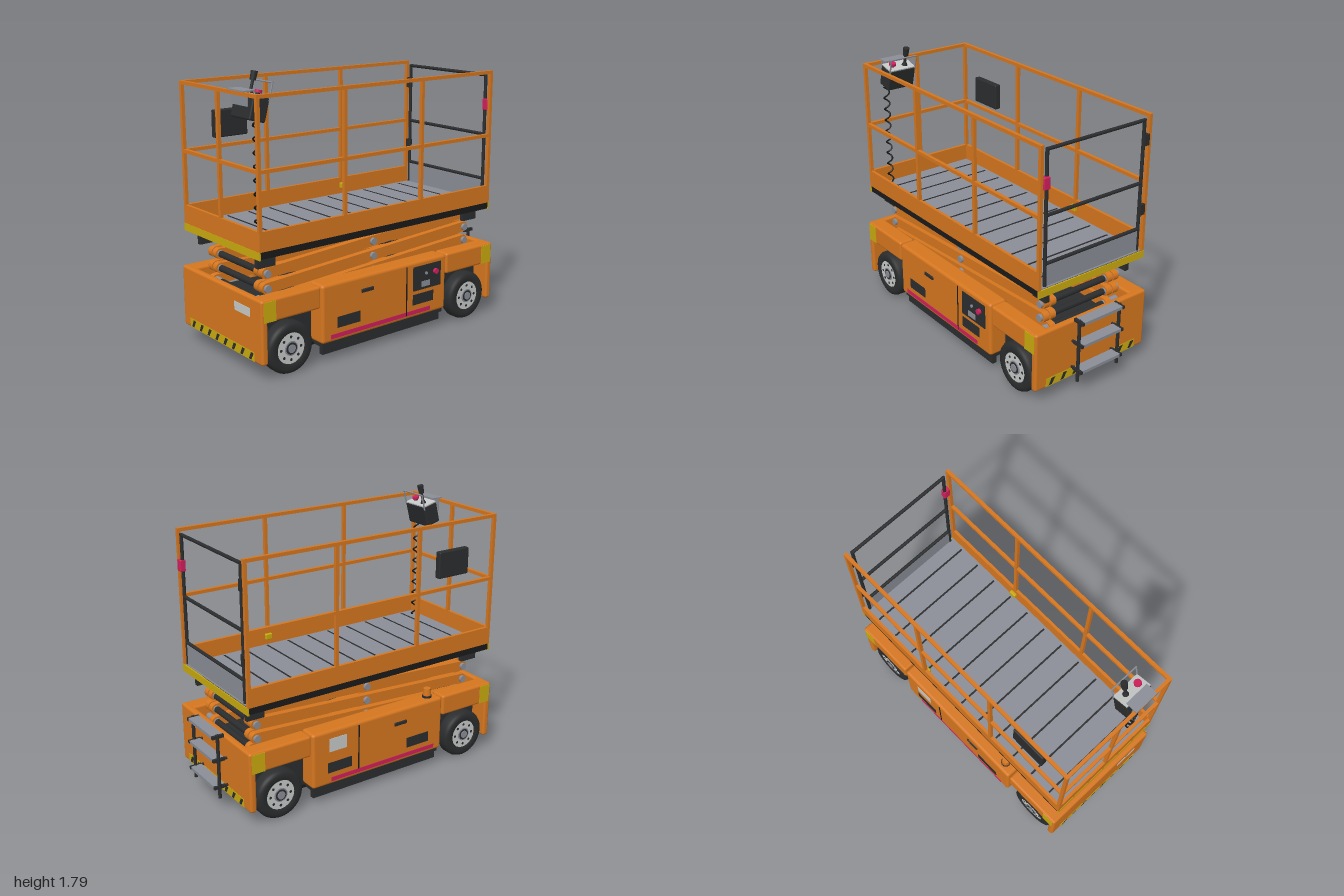
import * as THREE from 'three';
import { RoundedBoxGeometry } from 'three/addons/geometries/RoundedBoxGeometry.js';

const mat = (name, color, side = THREE.FrontSide) => {
  const m = new THREE.MeshStandardMaterial({ color, side });
  m.name = name;
  return m;
};

export function createModel() {
  const orange = mat('orange paint', 0xd5761f), dark = mat('dark plastic', 0x2b2c2d), black = mat('black', 0x1a1a1b);
  const grey = mat('grey steel', 0x8a8d96), light = mat('light grey', 0xc6c8c8), yellow = mat('yellow', 0xc9a90e);
  const pink = mat('red pink', 0xd01f5c);

  const root = new THREE.Group();
  root.name = 'scissorLift';
  const body = new THREE.Group();
  body.name = 'machine';
  body.position.x = -0.012;
  root.add(body);

  const add = (name, geo, m, parent = body) => {
    const mesh = new THREE.Mesh(geo, m);
    mesh.name = name;
    parent.add(mesh);
    return mesh;
  };
  // Box from its minimum and maximum on each axis, optionally rounded
  const box = (name, m, x0, x1, y0, y1, z0, z1, r = 0, parent = body) => {
    const s = [x1 - x0, y1 - y0, z1 - z0];
    const geo = r ? new RoundedBoxGeometry(...s, 3, r) : new THREE.BoxGeometry(...s);
    const mesh = add(name, geo, m, parent);
    mesh.position.set((x0 + x1) / 2, (y0 + y1) / 2, (z0 + z1) / 2);
    return mesh;
  };
  // Round bar between two points
  const rod = (name, m, a, b, r, parent = body, r2 = r) => {
    const p = new THREE.Vector3(...a), q = new THREE.Vector3(...b), d = q.clone().sub(p);
    const mesh = add(name, new THREE.CylinderGeometry(r2, r, d.length(), 20), m, parent);
    mesh.position.copy(p).add(q).multiplyScalar(0.5);
    mesh.quaternion.setFromUnitVectors(new THREE.Vector3(0, 1, 0), d.normalize());
    return mesh;
  };
  // Box given by distances from the centre line on side s (+1 or -1)
  const sideBox = (name, m, s, a, b, ...rest) => box(name, m, Math.min(s * a, s * b), Math.max(s * a, s * b), ...rest);

  // Chassis: belly, end walls and corner fenders
  box('chassis', dark, -0.325, 0.325, 0.115, 0.36, -0.87, 0.965);
  box('bellyPlate', black, -0.34, 0.34, 0.1, 0.116, -0.89, 0.98);
  box('frontWall', orange, -0.447, 0.447, 0.107, 0.505, 0.955, 1.0, 0.016);
  box('backWall', orange, -0.447, 0.447, 0.107, 0.505, -0.905, -0.86, 0.016);
  for (const s of [1, -1]) {
    sideBox('frontFender', orange, s, 0.335, 0.447, 0.365, 0.505, 0.572, 0.995, 0.016);
    sideBox('backFender', orange, s, 0.335, 0.447, 0.365, 0.505, -0.9, -0.47, 0.016);
    sideBox('sideCabinet', orange, s, 0.32, 0.449, 0.13, 0.505, -0.463, 0.565, 0.02);
    sideBox('cabinetSill', dark, s, 0.3, 0.43, 0.105, 0.14, -0.45, 0.55);
    sideBox('potholeGuard', dark, s, 0.385, 0.415, 0.05, 0.115, -0.44, 0.54);
    for (const z of [0.35, -0.28]) sideBox('guardBracket', light, s, 0.36, 0.386, 0.07, 0.105, z - 0.025, z + 0.025);
    sideBox('frontCornerMark', yellow, s, 0.444, 0.4495, 0.37, 0.495, 0.9, 0.985);
    sideBox('backCornerMark', yellow, s, 0.444, 0.4495, 0.37, 0.495, -0.89, -0.8);

    // Cabinet details
    sideBox('sideStripe', pink, s, 0.446, 0.451, 0.152, 0.18, -0.325, 0.5);
    sideBox('doorSeam', black, s, 0.446, 0.451, 0.155, 0.485, -0.12, -0.111);
    sideBox('doorHandle', dark, s, 0.446, 0.458, 0.398, 0.422, 0.165, 0.263, 0.005);
    sideBox('frontVent', dark, s, 0.446, 0.452, 0.215, 0.285, 0.27, 0.45);
    sideBox('backVent', dark, s, 0.446, 0.452, 0.215, 0.285, -0.35, -0.17);
  }
  sideBox('sidePlate', light, -1, 0.446, 0.452, 0.36, 0.45, -0.34, -0.21);
  box('groundPanel', dark, 0.446, 0.454, 0.31, 0.472, -0.412, -0.17);
  box('groundPanelLabel', grey, 0.45, 0.457, 0.327, 0.365, -0.315, -0.24);
  rod('keySwitch', grey, [0.45, 0.415, -0.28], [0.462, 0.415, -0.28], 0.01);
  rod('groundStop', pink, [0.45, 0.415, -0.36], [0.472, 0.415, -0.36], 0.018);

  // Hazard strip with slanted bars, on both ends
  const bars = [];
  for (let i = 0; i < 8; i++) {
    const x = -0.345 + i * 0.0935;
    bars.push(new THREE.Shape([[x, 0.12], [x + 0.025, 0.12], [x + 0.052, 0.166], [x + 0.022, 0.166]]
      .map(p => new THREE.Vector2(...p))));
  }
  for (const [end, z] of [[1, 1.0], [-1, 0.905]]) {
    const strip = new THREE.Group();
    strip.name = 'hazardStrip';
    strip.rotation.y = end > 0 ? 0 : Math.PI;
    body.add(strip);
    box('stripBase', yellow, -0.365, 0.365, 0.114, 0.172, z - 0.004, z + 0.002, 0, strip);
    add('stripBars', new THREE.ShapeGeometry(bars), dark, strip).position.z = z + 0.0035;
  }
  box('frontPlate', light, 0.162, 0.329, 0.38, 0.435, 0.996, 1.002);

  // Warning beacon
  rod('beaconBase', dark, [-0.388, 0.5, 0.48], [-0.388, 0.52, 0.48], 0.032);
  rod('beaconLens', orange, [-0.388, 0.52, 0.48], [-0.388, 0.568, 0.48], 0.028, body, 0.024);

  // Wheels: tyre, rim, bolt holes and hub, axis along x
  const tyre = new THREE.LatheGeometry([[0.09, -0.045], [0.135, -0.05], [0.155, -0.042], [0.163, -0.025],
    [0.163, 0.025], [0.155, 0.042], [0.135, 0.05], [0.1, 0.05], [0.095, 0.035]]
    .map(p => new THREE.Vector2(...p)), 48);
  for (const s of [1, -1]) for (const z of [0.784, -0.686]) {
    const wheel = new THREE.Group();
    wheel.name = 'wheel';
    wheel.position.set(s * 0.385, 0.163, z);
    wheel.rotation.z = -s * Math.PI / 2;
    body.add(wheel);
    add('tyre', tyre, dark, wheel);
    rod('rim', light, [0, -0.04, 0], [0, 0.044, 0], 0.098, wheel);
    rod('hubRing', grey, [0, 0, 0], [0, 0.049, 0], 0.046, wheel);
    rod('hubSeat', dark, [0, 0, 0], [0, 0.051, 0], 0.038, wheel);
    rod('hubCap', grey, [0, 0, 0], [0, 0.056, 0], 0.026, wheel);
    rod('axle', dark, [0, -0.14, 0], [0, -0.03, 0], 0.04, wheel);
    for (let i = 0; i < 8; i++) {
      const a = i * Math.PI / 4, x = Math.cos(a) * 0.072, w = Math.sin(a) * 0.072;
      rod('boltHole', dark, [x, 0.03, w], [x, 0.0455, w], 0.009, wheel);
    }
  }

  // Scissor stack
  const zF = 0.86, zB = -0.77, levels = [0.425, 0.515, 0.608, 0.705];
  const arm = (x, yF, yB) => {
    const run = zF - zB, L = Math.hypot(run, yB - yF), r = 0.034, shape = new THREE.Shape();
    shape.absarc(0, 0, r, Math.PI / 2, Math.PI * 1.5);
    shape.absarc(L, 0, r, -Math.PI / 2, Math.PI / 2);
    const geo = new THREE.ExtrudeGeometry(shape, { depth: 0.04, bevelEnabled: false, curveSegments: 10 });
    geo.rotateZ(Math.atan2(yB - yF, run)).rotateY(Math.PI / 2).translate(x - 0.02, yF, zF);
    add('scissorArm', geo, orange);
  };
  levels.forEach((y, i) => {
    const ends = [[y, zF], [y, zB]];
    if (i < 3) {
      for (const s of [1, -1]) {
        arm(s * 0.28, y, levels[i + 1]);
        arm(s * 0.23, levels[i + 1], y);
      }
      ends.push([(y + levels[i + 1]) / 2, 0.046]);
    }
    for (const [py, pz] of ends) {
      rod('crossTube', dark, [-0.22, py, pz], [0.22, py, pz], 0.021);
      for (const s of [1, -1]) rod('pivotPin', grey, [s * 0.2, py, pz], [s * 0.318, py, pz], 0.023);
    }
  });
  box('liftBeam', dark, -0.19, 0.19, 0.645, 0.72, 0.55, 0.63, 0.008);
  rod('liftCylinder', dark, [0, 0.47, -0.5], [0, 0.57, 0.1], 0.045);
  rod('liftPiston', grey, [0, 0.57, 0.1], [0, 0.665, 0.6], 0.027);
  for (const s of [1, -1]) {
    sideBox('frontMount', dark, s, 0.305, 0.335, 0.66, 0.745, 0.82, 0.945);
    sideBox('backMount', dark, s, 0.305, 0.335, 0.66, 0.745, -0.85, -0.73);
    sideBox('slideRail', dark, s, 0.19, 0.31, 0.735, 0.75, -0.85, 0.94);
  }

  // Platform deck with floor grooves and toe boards
  box('deck', black, -0.415, 0.415, 0.742, 0.786, -0.882, 0.98);
  box('frontTrim', yellow, -0.42, 0.42, 0.738, 0.786, 0.978, 0.987);
  box('backTrim', yellow, -0.42, 0.42, 0.738, 0.786, -0.889, -0.88);
  box('floor', grey, -0.4, 0.4, 0.784, 0.792, -0.88, 0.97);
  for (let i = 0; i < 11; i++) {
    const z = -0.77 + i * 0.163;
    box('floorGroove', dark, -0.375, 0.382, 0.79, 0.794, z - 0.006, z + 0.006);
  }
  box('frontToeBoard', orange, -0.42, 0.42, 0.786, 0.905, 0.965, 0.985);
  for (const s of [1, -1]) {
    sideBox('sideToeBoard', orange, s, 0.4, 0.42, 0.786, 0.905, -0.887, 0.985);
    sideBox('anchorPoint', yellow, s, 0.378, 0.402, 0.83, 0.87, -0.29, -0.24, 0.006);
  }

  // Guard rails of square tube
  const t = 0.011;
  for (const s of [1, -1]) {
    for (const z of [0.974, 0.36, -0.26, -0.875])
      box('railPost', orange, s * 0.409 - t, s * 0.409 + t, 0.9, 1.67, z - t, z + t);
    for (const y of [1.248, 1.67]) box('sideRail', orange, s * 0.409 - t, s * 0.409 + t, y - t, y + t, -0.886, 0.985);
  }
  box('frontPost', orange, -t, t, 0.9, 1.67, 0.963, 0.985);
  for (const y of [1.248, 1.67]) box('frontRail', orange, -0.42, 0.42, y - t, y + t, 0.963, 0.985);

  // Entry gate
  const gz = -0.875;
  for (const s of [1, -1]) rod('gateStile', dark, [s * 0.367, 0.8, gz], [s * 0.367, 1.655, gz], t);
  for (const y of [0.945, 1.25, 1.648]) rod('gateBar', dark, [-0.367, y, gz], [0.367, y, gz], t);
  box('gateKickPlate', grey, -0.367, 0.367, 0.8, 0.938, gz - 0.006, gz + 0.006);
  for (const y of [1.075, 1.525]) box('gateHinge', dark, -0.4, -0.365, y - 0.035, y + 0.035, -0.893, -0.865);
  box('gateLatch', pink, 0.355, 0.4, 1.415, 1.49, -0.897, -0.86, 0.006);

  // Document box on the side rail
  box('documentBox', dark, -0.398, -0.355, 1.31, 1.485, 0.54, 0.782, 0.008);

  // Tilted platform control box
  const ctl = new THREE.Group();
  ctl.name = 'platformControl';
  ctl.position.set(0.212, 1.585, 0.89);
  ctl.rotation.x = -0.26;
  body.add(ctl);
  box('controlCase', dark, -0.1, 0.1, -0.075, 0.07, -0.056, 0.056, 0.01, ctl);
  box('controlFace', light, -0.097, 0.097, 0.068, 0.076, -0.053, 0.053, 0, ctl);
  rod('joystickBoot', dark, [-0.04, 0.07, -0.01], [-0.04, 0.1, -0.01], 0.022, ctl, 0.01);
  rod('joystickStem', dark, [-0.04, 0.09, -0.01], [-0.04, 0.16, -0.01], 0.009, ctl);
  rod('joystickGrip', dark, [-0.04, 0.15, -0.01], [-0.04, 0.205, -0.01], 0.018, ctl, 0.021);
  rod('stopStem', dark, [0.05, 0.07, 0], [0.05, 0.088, 0], 0.014, ctl);
  rod('stopButton', pink, [0.05, 0.086, 0], [0.05, 0.103, 0], 0.023, ctl);
  const guard = [[-0.097, 0.05], [-0.097, 0.158], [0.097, 0.158], [0.097, 0.05]];
  for (let i = 0; i < 3; i++) rod('guardBar', grey, [...guard[i], -0.052], [...guard[i + 1], -0.052], 0.005, ctl);
  box('hookPlate', grey, 0.125, 0.292, 1.682, 1.69, 0.905, 0.985);
  box('hookBack', grey, 0.125, 0.292, 1.6, 1.69, 0.955, 0.962);

  // Coiled cable
  const pts = [];
  for (let i = 0; i <= 144; i++) {
    const a = i / 16 * Math.PI * 2;
    pts.push(new THREE.Vector3(0.295 + Math.cos(a) * 0.018, 1.52 - i / 144 * 0.72, 0.908 + Math.sin(a) * 0.018));
  }
  add('coiledCable', new THREE.TubeGeometry(new THREE.CatmullRomCurve3(pts), 288, 0.0055, 6), black);

  // Access ladder
  for (const s of [1, -1]) {
    rod('ladderRail', dark, [s * 0.162, 0.105, -0.962], [s * 0.162, 0.535, -0.962], 0.011);
    for (const y of [0.18, 0.365, 0.522]) {
      sideBox('stepCheek', dark, s, 0.152, 0.17, y - 0.01, y + 0.01, -1.0, -0.92);
      if (y < 0.5) rod('ladderBracket', dark, [s * 0.162, y, -0.895], [s * 0.162, y, -0.96], 0.009);
    }
  }
  for (const y of [0.18, 0.365, 0.522]) box('ladderStep', grey, -0.155, 0.155, y - 0.01, y + 0.01, -0.998, -0.924);

  return root;
}
